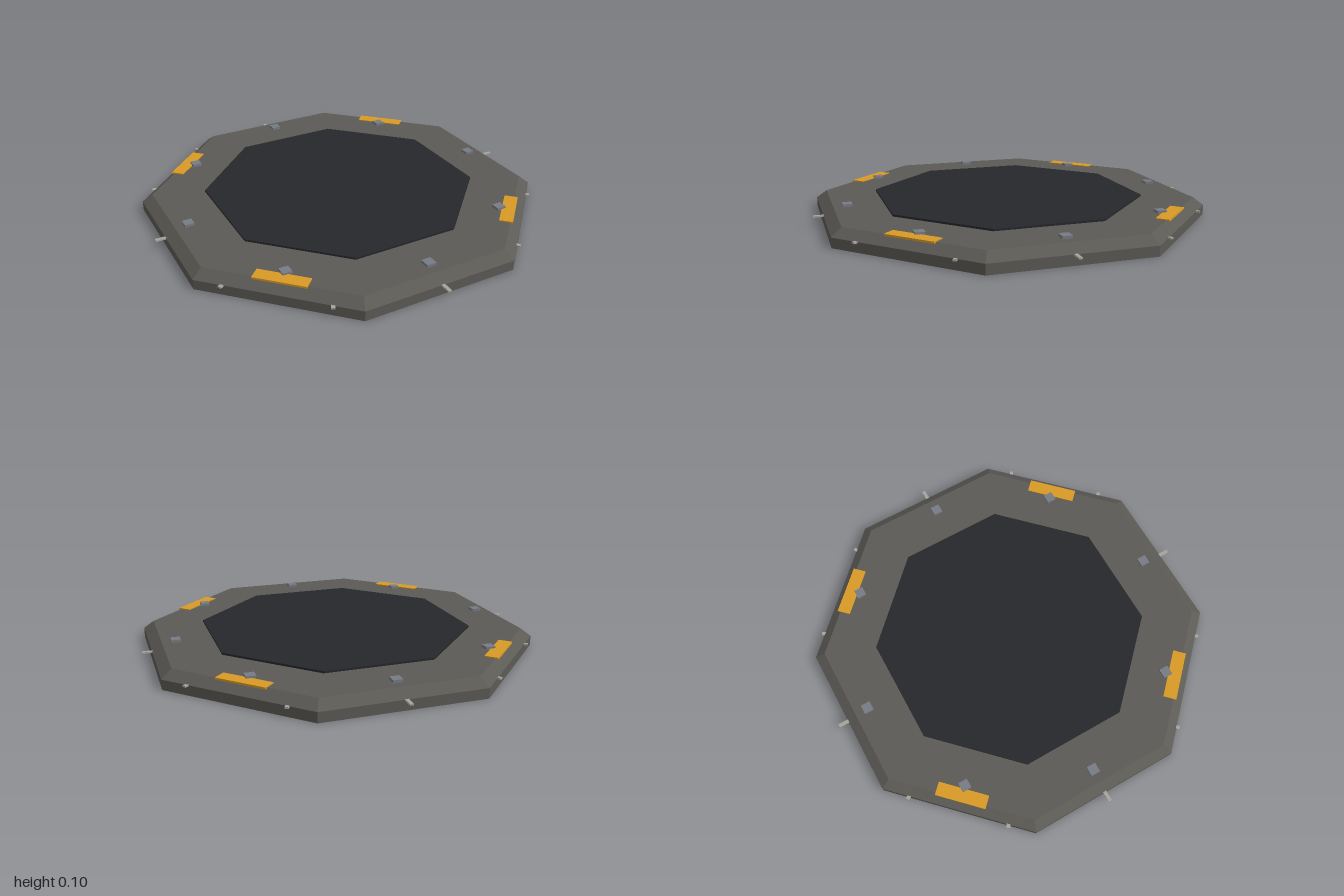
import * as THREE from 'three';

const SIDES = 8;
const toCorner = 1 / Math.cos(Math.PI / SIDES); // apothem to corner radius

const paint = (color) => new THREE.MeshStandardMaterial({ color, flatShading: true });

// Octagonal solid from [apothem, y] pairs running bottom to top
function octagon(name, profile, material) {
  const points = profile.map(([a, y]) => new THREE.Vector2(a * toCorner, y));
  const mesh = new THREE.Mesh(new THREE.LatheGeometry(points, SIDES, Math.PI / SIDES), material);
  mesh.name = name;
  return mesh;
}

// Equal boxes around a circle, x pointing outward when turned
function ringOfBoxes(name, { count, start = 0, radius, y, size, turned = true }, material) {
  const group = new THREE.Group();
  group.name = name + 's';
  const geometry = new THREE.BoxGeometry(...size);
  for (let i = 0; i < count; i++) {
    const angle = start + (i / count) * Math.PI * 2;
    const mesh = new THREE.Mesh(geometry, material);
    mesh.position.set(Math.cos(angle) * radius, y, -Math.sin(angle) * radius);
    if (turned) mesh.rotation.y = angle;
    mesh.name = name;
    group.add(mesh);
  }
  return group;
}

export function createModel() {
  const model = new THREE.Group();
  model.name = 'octagonalPlatform';

  // Deck with vertical skirt and bevelled rim
  model.add(octagon('deck', [[0, 0], [0.95, 0], [0.95, 0.05], [0.9, 0.09], [0, 0.09]], paint(0x5c5a55)));

  // Dark raised centre panel
  model.add(octagon('centrePanel', [[0, 0.088], [0.65, 0.088], [0.65, 0.1], [0, 0.1]], paint(0x25272c)));

  // Warning plates on the diagonal edges
  model.add(ringOfBoxes('warningPlate', {
    count: 4, start: Math.PI / 4, radius: 0.881, y: 0.09, size: [0.067, 0.01, 0.257],
  }, paint(0xd99a26)));

  // Small square blocks, all parallel to the axes
  model.add(ringOfBoxes('deckBlock', {
    count: 8, radius: 0.832, y: 0.096, size: [0.048, 0.016, 0.048], turned: false,
  }, paint(0x777b84)));

  // Thin pins poking out through the skirt
  model.add(ringOfBoxes('rimPin', {
    count: 12, radius: 0.96, y: 0.048, size: [0.08, 0.008, 0.018],
  }, paint(0xa5a49c)));

  return model;
}
